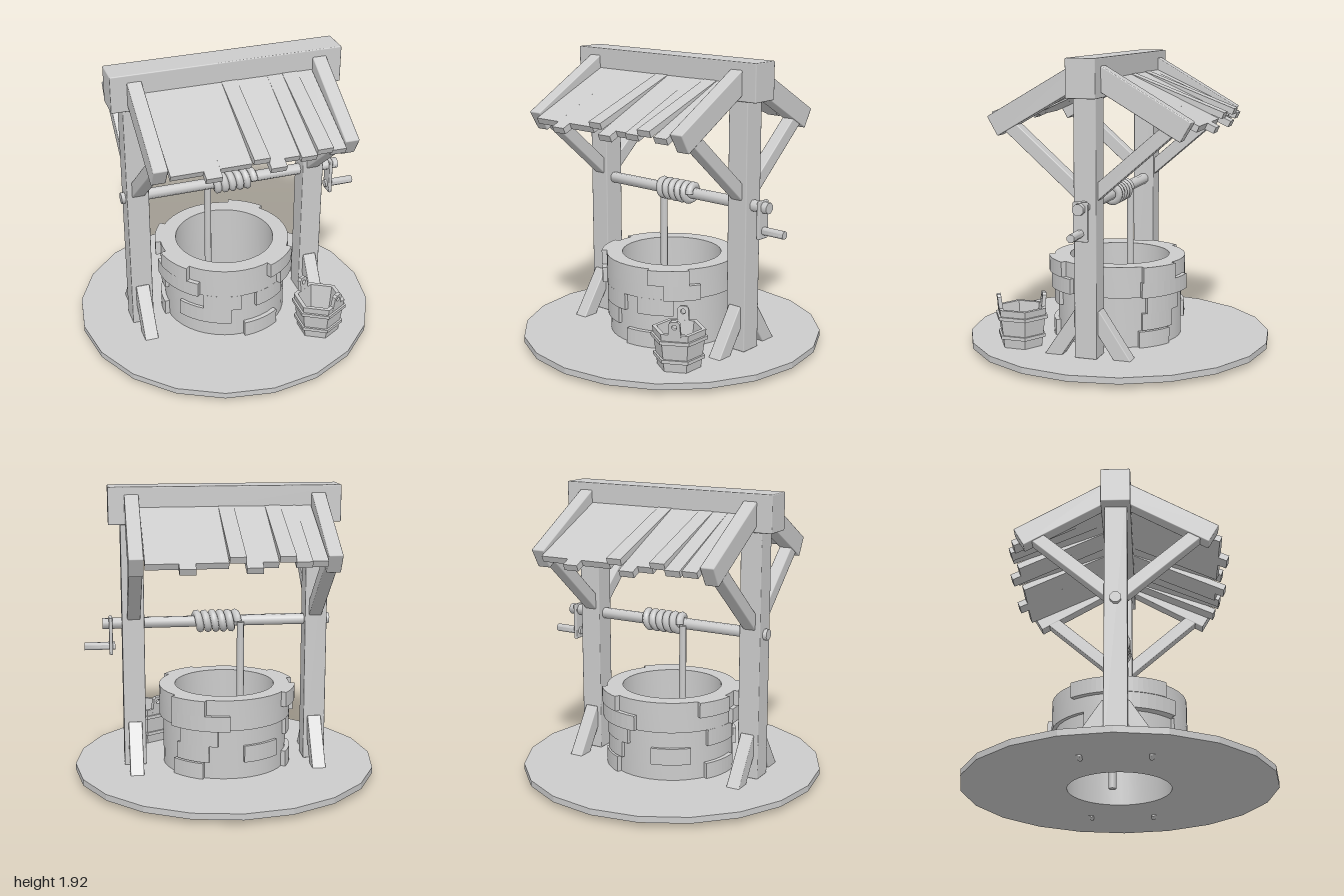
import * as THREE from 'three';
import { toCreasedNormals } from 'three/addons/utils/BufferGeometryUtils.js';
import { RoundedBoxGeometry } from 'three/addons/geometries/RoundedBoxGeometry.js';

const smooth = new THREE.MeshStandardMaterial({ color: 0xcccccc });
const flat = new THREE.MeshStandardMaterial({ color: 0xcccccc, flatShading: true });
const rad = THREE.MathUtils.degToRad;

export function createModel() {
  const model = new THREE.Group();

  function add(name, geometry, material = smooth, parent = model) {
    const mesh = new THREE.Mesh(geometry, material);
    mesh.name = name;
    parent.add(mesh);
    return mesh;
  }
  function lathe(profile, sides) {
    return new THREE.LatheGeometry(profile.map(([r, y]) => new THREE.Vector2(r, y)), sides);
  }
  // Timber with slightly softened edges
  function block(name, w, h, d, x, y, z) {
    const mesh = add(name, new RoundedBoxGeometry(w, h, d, 1, 0.007));
    mesh.position.set(x, y, z);
    return mesh;
  }
  // Timber running between two [z, y] points at a fixed x
  function sloped(name, w, thick, x, [z0, y0], [z1, y1]) {
    const dz = z1 - z0, dy = y1 - y0;
    const mesh = block(name, w, thick, Math.hypot(dz, dy), x, (y0 + y1) / 2, (z0 + z1) / 2);
    mesh.rotation.x = -Math.atan2(dy, dz);
  }
  // Bar along x
  function bar(name, r, x0, x1, y) {
    const g = new THREE.CylinderGeometry(r, r, x1 - x0, 8);
    g.rotateY(Math.PI / 8);
    g.rotateZ(Math.PI / 2);
    add(name, toCreasedNormals(g, 1)).position.set((x0 + x1) / 2, y, 0);
  }

  // Ground disc, open below the shaft
  add('groundDisc', lathe([[0.4, 0.03], [1, 0.03], [1, 0.07], [0.4, 0.07]], 20), flat);

  // Well wall with a wider top band
  add('wellWall', toCreasedNormals(lathe([
    [0.33, 0.03], [0.41, 0.03], [0.41, 0.4], [0.435, 0.4],
    [0.435, 0.6], [0.33, 0.6], [0.33, 0.03],
  ], 40), 0.6));

  // Protruding stones per course, from the top down, as angle ranges from the front
  const courses = [
    { y: 0.5, top: 0.6, r: 0.47, spans: [[22, 55], [127, 158], [232, 262], [278, 310]] },
    { y: 0.4, top: 0.5, r: 0.465, spans: [[35, 65], [126, 178], [268, 320]] },
    { y: 0.29, top: 0.4, r: 0.435, spans: [[-37, -3], [11, 43], [132, 168], [242, 275]] },
    { y: 0.18, top: 0.29, r: 0.43, spans: [[-62, -12], [128, 160], [191, 226]] },
    { y: 0.07, top: 0.175, r: 0.44, spans: [[0, 35], [125, 155], [240, 275]] },
  ];
  for (const { y, top, r, spans } of courses) {
    for (const [from, to] of spans) {
      const a = rad(from - 90), b = rad(to - 90);
      const sector = new THREE.Shape();
      sector.absarc(0, 0, r, a, b, false);
      sector.absarc(0, 0, 0.38, b, a, true);
      const g = new THREE.ExtrudeGeometry(sector, { depth: top - y, bevelEnabled: false, curveSegments: 4 });
      g.rotateX(-Math.PI / 2);
      add('stone', g).position.y = y;
    }
  }

  // Posts, rafters and braces
  for (const side of [1, -1]) {
    block('post', 0.145, 1.68, 0.145, side * 0.602, 0.91, 0);
    for (const s of [1, -1]) {
      sloped('rafter', 0.092, 0.138, side * 0.6, [0, 1.846], [s * 0.617, 1.49]);
      sloped('roofBrace', 0.085, 0.085, side * 0.598, [s * 0.03, 1.08], [s * 0.53, 1.516]);
      sloped('footBrace', 0.09, 0.095, side * 0.6, [s * 0.245, 0.04], [s * 0.04, 0.347]);
    }
  }
  block('ridgeBeam', 1.5, 0.24, 0.19, 0, 1.8, 0);

  // Roof boards: some longer, some lifted at the eave
  const roofs = [
    { s: 1, lifted: [5, 9], nudged: [8], long: [2, 6] },
    { s: -1, lifted: [2, 5], nudged: [1], long: [4, 8] },
  ];
  for (const { s, lifted, nudged, long } of roofs) {
    for (let i = 0; i < 11; i++) {
      let end = [0.666, 1.503];
      if (lifted.includes(i)) end = [0.7, 1.54];
      else if (nudged.includes(i)) end = [0.695, 1.505];
      else if (long.includes(i)) end = [0.72, 1.478];
      const g = new THREE.BoxGeometry(0.1, 0.042, Math.hypot(end[0] - 0.05, 1.787 - end[1]));
      const board = add('roofBoard', g);
      board.position.set(-0.5 + i * 0.1, (1.787 + end[1]) / 2, s * (end[0] + 0.05) / 2);
      board.rotation.x = s * Math.atan2(1.787 - end[1], end[0] - 0.05);
    }
  }

  // Axle and crank
  bar('axle', 0.037, -0.7, 0.8, 1.025);
  block('crankArm', 0.024, 0.245, 0.096, 0.747, 0.945, 0);
  bar('crankHandle', 0.026, 0.72, 0.92, 0.875);

  // Rope wound on the axle and hanging into the shaft
  const coil = [];
  const turns = 5.5, steps = 12;
  for (let i = 0; i <= turns * steps; i++) {
    const a = (i / steps) * Math.PI * 2;
    coil.push(new THREE.Vector3(-0.085 + (i / steps) * 0.051,
      1.025 + Math.sin(a) * 0.05, -Math.cos(a) * 0.05));
  }
  add('ropeCoil', new THREE.TubeGeometry(new THREE.CatmullRomCurve3(coil), 120, 0.026, 7));
  const hanging = new THREE.CylinderGeometry(0.024, 0.024, 1.02, 8);
  add('hangingRope', toCreasedNormals(hanging, 1)).position.set(-0.103, 0.51, -0.04);

  // Six-sided bucket with hoops and two pierced ears
  const bucket = new THREE.Group();
  bucket.name = 'bucket';
  bucket.position.set(0.5, 0.07, 0.5);
  model.add(bucket);
  add('bucketBody', lathe([
    [0, 0], [0.138, 0], [0.17, 0.25], [0.142, 0.25], [0.115, 0.03], [0, 0.03],
  ], 6), flat, bucket);
  for (const [y, r] of [[0.185, 0.18], [0.06, 0.163]]) {
    add('bucketHoop', lathe([
      [r - 0.03, y], [r, y], [r, y + 0.022], [r - 0.03, y + 0.022],
    ], 6), flat, bucket);
  }
  const ear = new THREE.Shape([
    [-0.04, 0], [0.04, 0], [0.034, 0.1], [0.02, 0.115], [-0.02, 0.115], [-0.034, 0.1],
  ].map(([x, y]) => new THREE.Vector2(x, y)));
  ear.holes.push(new THREE.Path().absarc(0, 0.08, 0.016, 0, Math.PI * 2, true));
  const earGeometry = new THREE.ExtrudeGeometry(ear, { depth: 0.025, bevelEnabled: false, curveSegments: 8 });
  for (const angle of [30, 210]) {
    const pivot = new THREE.Group();
    pivot.rotation.y = rad(angle);
    bucket.add(pivot);
    const mesh = add('bucketEar', earGeometry, smooth, pivot);
    mesh.position.set(0, 0.225, 0.121);
    mesh.rotation.x = 0.11;
  }

  return model;
}
